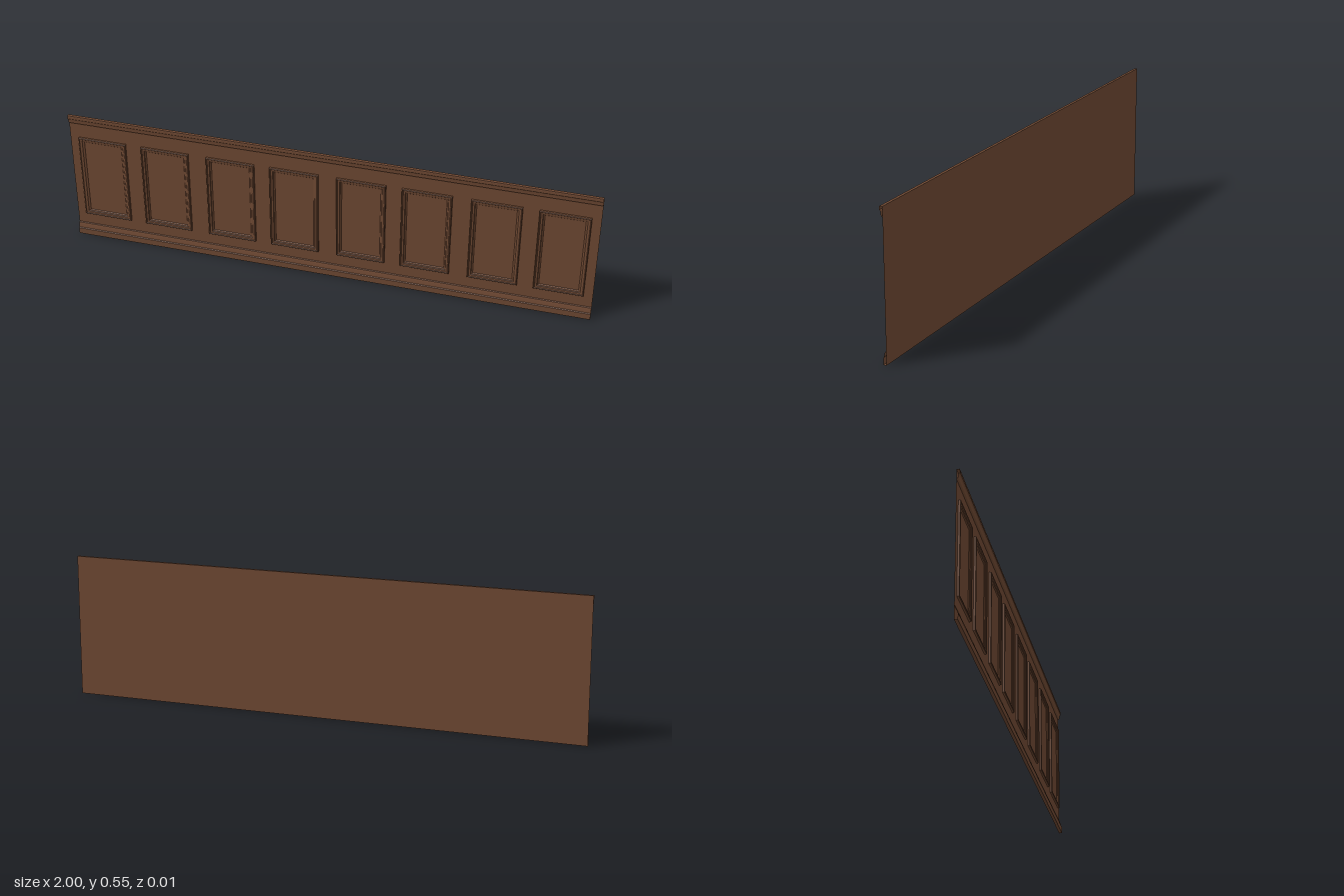
import * as THREE from 'three';

const WOOD = new THREE.MeshStandardMaterial({ color: 0x6e4832, flatShading: true, side: THREE.DoubleSide });
const LENGTH = 2, HEIGHT = 0.547, BACK = -0.006;

// Joins successive rows of points (equal length) with quads
function loft(rows, closed) {
  const n = rows[0].length, pos = rows.flat(2), index = [];
  for (let r = 0; r < rows.length - 1; r++) {
    for (let i = 0; i < (closed ? n : n - 1); i++) {
      const a = r * n + i, b = r * n + (i + 1) % n, c = a + n, d = b + n;
      index.push(a, b, d, a, d, c);
    }
  }
  const g = new THREE.BufferGeometry();
  g.setAttribute('position', new THREE.Float32BufferAttribute(pos, 3));
  g.setIndex(index);
  const flat = g.toNonIndexed();
  flat.computeVertexNormals();
  return flat;
}

// Straight moulding from a (y, z) profile listed from top to bottom, open at its ends
function moulding(profile) {
  const h = LENGTH / 2;
  return loft(profile.map(([y, z]) => [[-h, y, z], [h, y, z]]).reverse(), false);
}

// Mitred rectangular frame from an (inset, z) profile listed from outside to inside
function frame(w, h, profile) {
  return loft(profile.map(([inset, z]) => {
    const x = w / 2 - inset, y = h / 2 - inset;
    return [[-x, -y, z], [x, -y, z], [x, y, z], [-x, y, z]];
  }), true);
}

export function createModel() {
  const group = new THREE.Group();
  const add = (name, geometry, x = 0, y = 0, z = 0) => {
    const mesh = new THREE.Mesh(geometry, WOOD);
    mesh.name = name;
    mesh.position.set(x, y, z);
    group.add(mesh);
  };

  // Flat backing sheet
  add('backPanel', new THREE.PlaneGeometry(LENGTH, HEIGHT), 0, HEIGHT / 2, BACK);

  // Top rail and skirting
  add('topRail', moulding([
    [HEIGHT, BACK], [HEIGHT, 0.005], [0.544, 0.006], [0.534, 0.006], [0.53, 0.002],
    [0.526, 0.001], [0.516, 0.0], [0.512, -0.003], [0.51, BACK],
  ]));
  add('skirting', moulding([
    [0.05, BACK], [0.048, -0.002], [0.042, 0.0], [0.038, 0.001], [0.034, 0.002],
    [0.028, 0.003], [0.025, 0.006], [0, 0.006], [0, BACK],
  ]));

  // Eight moulded panel frames, mirrored about the centre
  const frameGeometry = frame(0.186, 0.352, [
    [0, BACK], [0, 0.001], [0.002, 0.003], [0.004, 0.003], [0.006, 0.001],
    [0.013, 0.0], [0.015, -0.003], [0.018, -0.004], [0.02, BACK],
  ]);
  for (const x of [0.127, 0.372, 0.627, 0.873]) {
    add('panelFrameLeft', frameGeometry, x, 0.275);
    add('panelFrameRight', frameGeometry, -x, 0.275);
  }
  return group;
}
